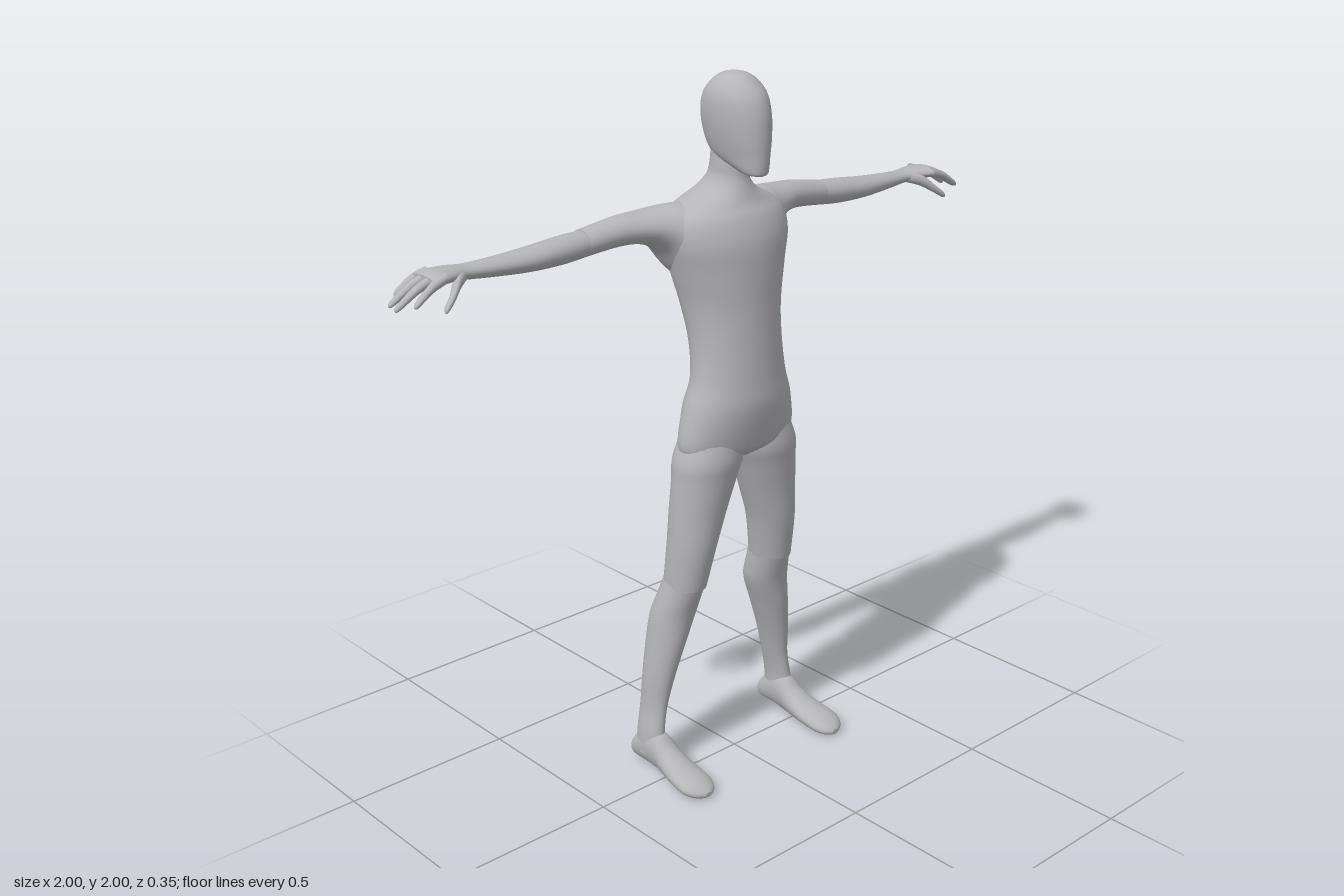
import * as THREE from 'three';

const SIDES = 32, STEPS = 5;

// Catmull-Rom value of one column between rows i and i + 1
function spline(rows, i, f, k) {
  const at = (j) => rows[Math.min(Math.max(j, 0), rows.length - 1)][k];
  const a = at(i - 1), b = at(i), c = at(i + 1), d = at(i + 2);
  return b + 0.5 * f * (c - a + f * (2 * a - 5 * b + 4 * c - d + f * (3 * (b - c) + d - a)));
}

// Smooth skin over oval sections. Each row: [position on axis, aMin, aMax, bMin, bMax],
// where (a, b) are the two other axes in x, y, z order. side = -1 mirrors it in x.
function loft(axis, rows, side = 1) {
  const rings = [];
  for (let i = 0; i < rows.length - 1; i++) {
    for (let s = 0; s < STEPS; s++) rings.push([0, 1, 2, 3, 4].map((k) => spline(rows, i, s / STEPS, k)));
  }
  rings.push(rows[rows.length - 1]);
  const pos = [], index = [];
  const put = (t, a, b) => {
    const p = axis === 'x' ? [t, a, b] : axis === 'y' ? [a, t, b] : [a, b, t];
    pos.push(p[0] * side, p[1], p[2]);
  };
  const ring = ([t, a0, a1, b0, b1]) => {
    for (let j = 0; j < SIDES; j++) {
      const u = (j / SIDES) * Math.PI * 2;
      put(t, (a0 + a1) / 2 + Math.cos(u) * (a1 - a0) / 2, (b0 + b1) / 2 + Math.sin(u) * (b1 - b0) / 2);
    }
  };
  const flip = (axis === 'y') !== (side < 0);
  const tri = (a, b, c) => (flip ? index.push(a, c, b) : index.push(a, b, c));
  rings.forEach(ring);
  for (let i = 0; i < rings.length - 1; i++) {
    for (let j = 0; j < SIDES; j++) {
      const n = (j + 1) % SIDES, a = i * SIDES, b = a + SIDES;
      tri(a + j, a + n, b + n);
      tri(a + j, b + n, b + j);
    }
  }
  // end caps
  [rings[0], rings[rings.length - 1]].forEach((r, end) => {
    const start = pos.length / 3;
    ring(r);
    put(r[0], (r[1] + r[2]) / 2, (r[3] + r[4]) / 2);
    for (let j = 0; j < SIDES; j++) {
      const p = start + j, q = start + (j + 1) % SIDES, c = start + SIDES;
      if (end) tri(c, p, q); else tri(c, q, p);
    }
  });
  const geo = new THREE.BufferGeometry();
  geo.setAttribute('position', new THREE.Float32BufferAttribute(pos, 3));
  geo.setIndex(index);
  geo.computeVertexNormals();
  return geo;
}

// Tapered finger sections through [x, y, z, radius] points
const digit = (points) => points.map(([x, y, z, r]) => [x, y - r, y + r, z - r, z + r]);

export function createModel() {
  const model = new THREE.Group();
  model.name = 'figure';
  const skin = new THREE.MeshStandardMaterial({ color: 0xb5b5b8 });
  skin.name = 'plain grey';
  const add = (name, axis, rows, side) => {
    const mesh = new THREE.Mesh(loft(axis, rows, side), skin);
    mesh.name = name;
    model.add(mesh);
  };

  // Torso with shoulders and neck: [y, half width, back z, front z]
  add('torso', 'y', [
    [0.945, 0.05, -0.05, 0.05], [0.97, 0.165, -0.08, 0.085], [1.0, 0.197, -0.09, 0.1],
    [1.1, 0.177, -0.1, 0.12], [1.18, 0.15, -0.09, 0.118], [1.28, 0.14, -0.108, 0.114],
    [1.38, 0.147, -0.142, 0.111], [1.48, 0.17, -0.17, 0.11], [1.56, 0.19, -0.175, 0.105],
    [1.62, 0.185, -0.168, 0.085], [1.655, 0.145, -0.147, 0.062], [1.685, 0.085, -0.12, 0.048],
    [1.72, 0.054, -0.09, 0.035], [1.76, 0.048, -0.075, 0.03], [1.82, 0.045, -0.07, 0.02],
  ].map(([y, w, back, front]) => [y, -w, w, back, front]));

  // Head, chin to crown
  add('head', 'y', [
    [1.736, 0.014, 0.085, 0.108], [1.741, 0.032, 0.05, 0.115], [1.757, 0.044, 0.0, 0.118],
    [1.785, 0.056, -0.07, 0.12], [1.83, 0.068, -0.096, 0.121], [1.89, 0.076, -0.105, 0.116],
    [1.94, 0.073, -0.093, 0.1], [1.975, 0.055, -0.062, 0.068], [1.992, 0.032, -0.034, 0.038],
    [1.998, 0.008, -0.008, 0.01],
  ].map(([y, w, back, front]) => [y, -w, w, back, front]));

  for (const [label, side] of [['left', 1], ['right', -1]]) {
    // Legs
    add(label + 'Thigh', 'y', [
      [0.575, 0.108, 0.223, -0.093, 0.04], [0.7, 0.083, 0.22, -0.085, 0.063],
      [0.8, 0.05, 0.216, -0.085, 0.073], [0.9, 0.015, 0.21, -0.085, 0.085],
      [0.96, -0.005, 0.205, -0.088, 0.092], [1.04, 0, 0.17, -0.07, 0.08],
    ], side);
    add(label + 'Shin', 'y', [
      [0.05, 0.227, 0.288, -0.135, -0.02], [0.12, 0.225, 0.284, -0.13, -0.03],
      [0.2, 0.21, 0.272, -0.13, -0.033], [0.3, 0.182, 0.267, -0.13, -0.02],
      [0.4, 0.147, 0.256, -0.132, -0.005], [0.48, 0.117, 0.246, -0.128, 0.005],
      [0.54, 0.11, 0.233, -0.11, 0.022], [0.59, 0.108, 0.222, -0.093, 0.037],
    ], side);
    // Foot, heel to toes
    add(label + 'Foot', 'z', [
      [-0.152, 0.245, 0.265, 0.025, 0.05], [-0.135, 0.226, 0.284, 0.015, 0.085],
      [-0.08, 0.222, 0.288, 0.012, 0.125], [-0.03, 0.215, 0.291, 0.008, 0.122],
      [0.005, 0.212, 0.297, 0.006, 0.093], [0.06, 0.207, 0.307, 0.003, 0.068],
      [0.12, 0.207, 0.312, 0, 0.052], [0.155, 0.22, 0.295, 0.002, 0.036],
      [0.172, 0.243, 0.268, 0.008, 0.023],
    ], side);
    // Arms, flared into the shoulder
    add(label + 'UpperArm', 'x', [
      [0.1, 1.42, 1.66, -0.16, 0.05], [0.16, 1.48, 1.66, -0.165, 0.02],
      [0.2, 1.535, 1.655, -0.165, -0.01], [0.25, 1.562, 1.65, -0.16, -0.033],
      [0.32, 1.567, 1.645, -0.155, -0.055], [0.43, 1.556, 1.628, -0.152, -0.07],
    ], side);
    add(label + 'ForearmAndPalm', 'x', [
      [0.42, 1.557, 1.626, -0.151, -0.071], [0.5, 1.55, 1.622, -0.155, -0.068],
      [0.6, 1.55, 1.612, -0.157, -0.068], [0.7, 1.556, 1.605, -0.152, -0.08],
      [0.78, 1.563, 1.602, -0.152, -0.088], [0.83, 1.568, 1.606, -0.16, -0.075],
      [0.88, 1.572, 1.606, -0.167, -0.055], [0.905, 1.578, 1.598, -0.162, -0.062],
    ], side);
    // Fingers: base z, then tip x, y, z
    [[-0.154, 0.955, 1.548, -0.164], [-0.126, 0.993, 1.534, -0.131],
      [-0.097, 1.0, 1.532, -0.093], [-0.069, 0.968, 1.542, -0.056]].forEach(([z, tx, ty, tz], i) => {
      const mid = (f, drop) => [0.87 + (tx - 0.87) * f, 1.592 + (ty - 1.592) * drop, z + (tz - z) * f];
      add(label + 'Finger' + (i + 1), 'x', digit([
        [...mid(0, 0), 0.013], [...mid(0.45, 0.3), 0.012], [...mid(0.9, 0.87), 0.009], [...mid(1, 1), 0.003],
      ]), side);
    });
    add(label + 'Thumb', 'x', digit([
      [0.79, 1.582, -0.105, 0.014], [0.83, 1.572, -0.078, 0.017],
      [0.865, 1.545, -0.052, 0.012], [0.89, 1.526, -0.04, 0.009], [0.896, 1.521, -0.038, 0.003],
    ]), side);
  }
  return model;
}
